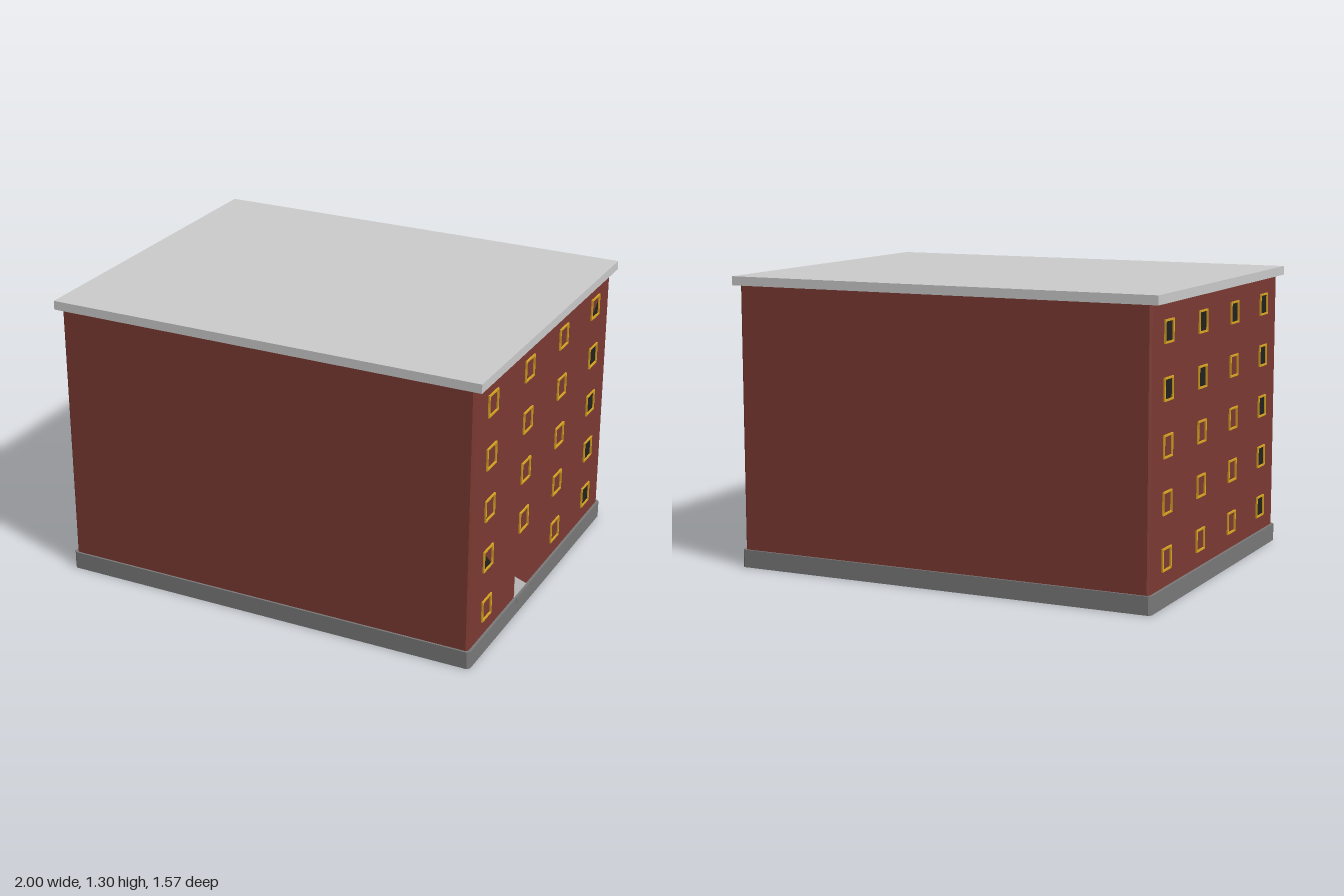
import * as THREE from 'three';

const mat = (color) => new THREE.MeshStandardMaterial({ color });
const BRICK = mat(0x7c3a32), STONE = mat(0x797979), GREY = mat(0xcccccc);
const GOLD = mat(0xdaa520), GLASS = mat(0x222222);

const COLUMNS = [-0.59, -0.197, 0.197, 0.59];
const ROWS = [0.197, 0.433, 0.668, 0.903, 1.139];
const HALF = 0.049, BAR = 0.008;

function add(parent, name, geometry, material, x = 0, y = 0, z = 0) {
  const mesh = new THREE.Mesh(geometry, material);
  mesh.name = name;
  mesh.position.set(x, y, z);
  parent.add(mesh);
  return mesh;
}

const polygon = (points) => new THREE.Shape(points.map(([x, y]) => new THREE.Vector2(x, y)));
const rect = (h) => [[-h, -h], [h, -h], [h, h], [-h, h]];

// Upright block with its four vertical corners cut off
function chamferedBlock(hx, hz, height, c) {
  const shape = polygon([
    [-hx + c, -hz], [hx - c, -hz], [hx, -hz + c], [hx, hz - c],
    [hx - c, hz], [-hx + c, hz], [-hx, hz - c], [-hx, -hz + c],
  ]);
  return new THREE.ExtrudeGeometry(shape, { depth: height, bevelEnabled: false }).rotateX(-Math.PI / 2);
}

// Square window surround with an open middle
function frameGeometry() {
  const shape = polygon(rect(HALF));
  shape.holes.push(polygon(rect(HALF - BAR).reverse()));
  return new THREE.ExtrudeGeometry(shape, { depth: 0.015, bevelEnabled: false });
}

// One windowed side, facing local +z; glass maps "column,row" to a pane outline
function facade(name, glass, hasDoor) {
  const side = new THREE.Group();
  side.name = name;
  const frame = frameGeometry();
  COLUMNS.forEach((x, c) => ROWS.forEach((y, r) => {
    if (hasDoor && c === 1 && r === 0) return;
    add(side, 'windowFrame', frame, GOLD, x, y, 0.96);
    const pane = glass[c + ',' + r];
    if (pane) add(side, 'windowPane', new THREE.ShapeGeometry(polygon(pane)), GLASS, x, y, 0.9685);
  }));
  if (hasDoor) {
    // Entrance panel and the shallow steps below it
    const panel = new THREE.ExtrudeGeometry(polygon([[-0.27, 0.078], [-0.125, 0.078], [-0.27, 0.185]]),
      { depth: 0.012, bevelEnabled: false });
    add(side, 'entrancePanel', panel, GREY, 0, 0, 0.958);
    for (let i = 0; i < 2; i++) {
      add(side, 'entranceStep', new THREE.BoxGeometry(0.145, 0.011, 0.02), STONE,
        -0.1975, 0.0625 + i * 0.012, 0.973 - i * 0.001);
    }
  }
  return side;
}

export function createModel() {
  const model = new THREE.Group();
  model.name = 'apartmentBlock';

  // Plinth, walls and flat roof
  add(model, 'plinth', chamferedBlock(0.98, 0.783, 0.08, 0.012), STONE);
  add(model, 'walls', chamferedBlock(0.968, 0.774, 1.18, 0.01), BRICK, 0, 0.08, 0);
  add(model, 'roof', new THREE.BoxGeometry(2, 0.04, 1.57), GREY, 0, 1.28, 0);

  // Dark panes of each windowed side
  const h = HALF - BAR, full = rect(h);
  const doorGlass = {
    '0,1': [[-h, -h], [h, -h], [-h, h]],
    '0,2': [[-h, -h], [-0.02, -h], [-h, 0.03]],
    '3,4': [[-h, -h], [h, -h], [h, 0.02]],
  };
  const rearGlass = {};
  for (let r = 0; r < 5; r++) {
    if (r < 4) doorGlass['3,' + r] = full;
    rearGlass['3,' + r] = full;
  }
  for (const key of ['0,3', '0,4', '1,3', '1,4', '2,4']) rearGlass[key] = full;

  const doorSide = facade('entranceSide', doorGlass, true);
  doorSide.rotation.y = Math.PI / 2;
  const rearSide = facade('plainSide', rearGlass, false);
  rearSide.rotation.y = -Math.PI / 2;
  model.add(doorSide, rearSide);
  return model;
}
